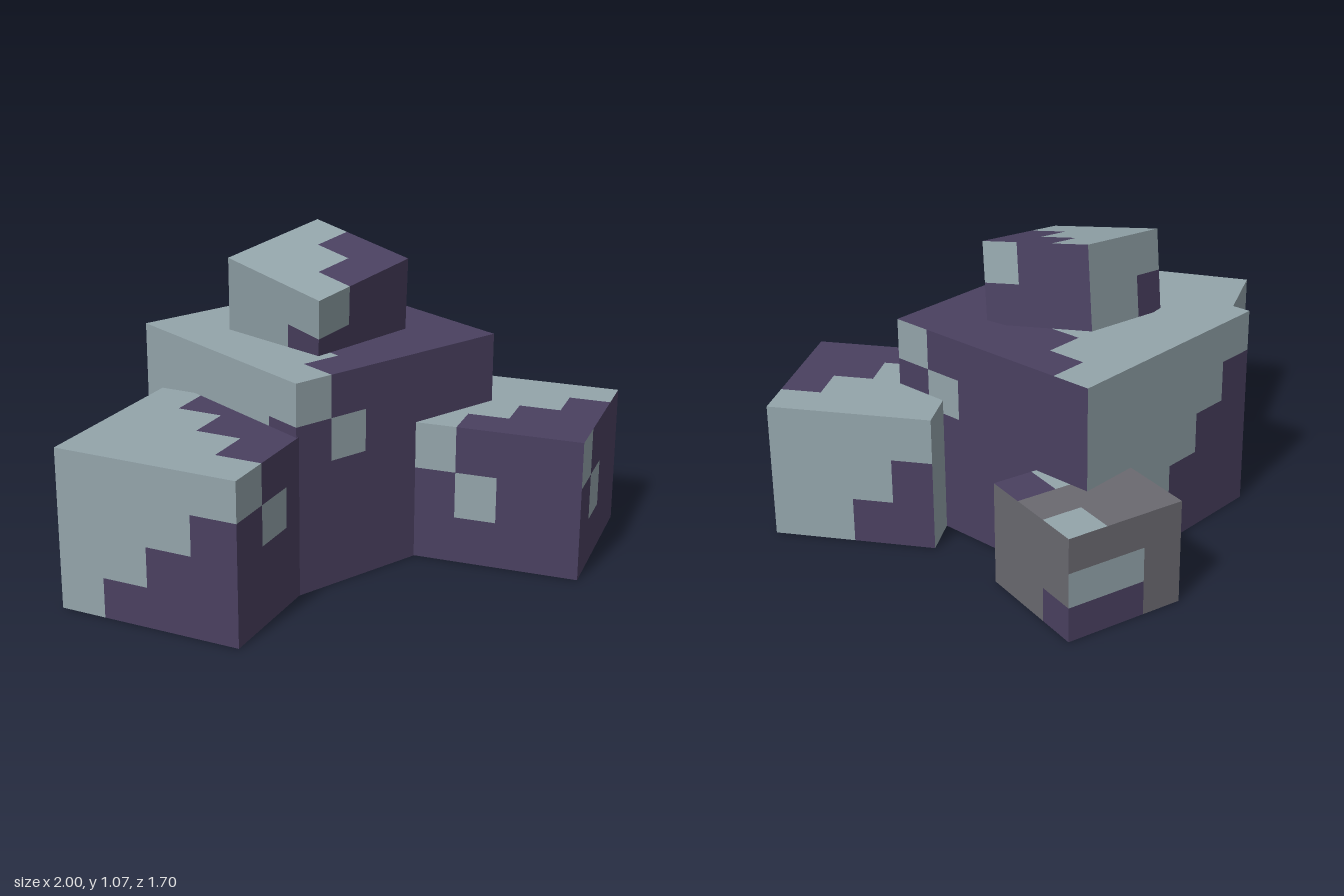
import * as THREE from 'three';

const mat = (name, color) => Object.assign(new THREE.MeshStandardMaterial({ color }), { name });

// Indices into the shared material list
const LIGHT = 0, PURPLE = 1, GREY = 2, BLACK = 3;
const RIGHT = 0, TOP = 2, BOTTOM = 3, FRONT = 4, BACK = 5;

// Block pattern: stairs from one corner, or a dark side with light diagonal patches
function blockPattern(face, i, j, cols, rows) {
  const stairs = i + j >= cols;
  const patch = i === j && i < Math.min(2, rows - 1);
  if (face === RIGHT || face === FRONT) return patch ? LIGHT : PURPLE;
  if (face === BOTTOM) return patch ? LIGHT : stairs ? BLACK : PURPLE;
  return stairs ? PURPLE : LIGHT;
}

// Grey pebble with a few coloured cells
function pebblePattern(face, i, j) {
  if (face === TOP) {
    if (i === 2 && j === 2) return PURPLE;
    return (i === 2 && j === 0) || (i === 1 && j === 2) ? LIGHT : GREY;
  }
  if (face === BACK && i < 2) return [GREY, LIGHT, PURPLE][j];
  if (face === RIGHT || face === FRONT) return i === 2 && j === 2 ? PURPLE : GREY;
  return GREY;
}

// Box divided into cells, each cell given one flat colour
function cellBox(name, materials, size, height, n, rows, pattern) {
  const geo = new THREE.BoxGeometry(size, height, size, n, rows, n);
  geo.clearGroups();
  let start = 0;
  for (let face = 0; face < 6; face++) {
    const faceRows = face === TOP || face === BOTTOM ? n : rows;
    for (let j = 0; j < faceRows; j++) {
      for (let i = 0; i < n; i++, start += 6) {
        geo.addGroup(start, 6, pattern(face, i, j, n, faceRows));
      }
    }
  }
  const mesh = new THREE.Mesh(geo, materials);
  mesh.name = name;
  return mesh;
}

export function createModel() {
  const group = new THREE.Group();
  group.name = 'rockPile';
  const materials = [
    mat('paleStone', 0x93a4aa),
    mat('purpleStone', 0x4a4060),
    mat('greyStone', 0x6a6970),
    mat('darkUnderside', 0x342c22),
  ];

  // Blocks standing on the ground: name, x, z, size, height, yaw, cells, rows, pattern
  const blocks = [
    ['centreBlock', -0.045, -0.032, 0.859, 0.73, 24.7, 6, 5, blockPattern],
    ['rightBlock', -0.55, 0.395, 0.643, 0.549, 50, 4, 4, blockPattern],
    ['leftBlock', 0.6, 0.253, 0.572, 0.487, -34.7, 4, 3, blockPattern],
    ['backPebble', 0.168, -0.605, 0.431, 0.368, 10, 3, 3, pebblePattern],
  ];
  blocks.forEach(([name, x, z, size, height, yaw, n, rows, pattern], k) => {
    const mesh = cellBox(name, materials, size, height, n, rows, pattern);
    mesh.position.set(x, height / 2 + (k ? 0.001 : 0), z);
    mesh.rotation.y = THREE.MathUtils.degToRad(yaw);
    group.add(mesh);
  });

  // Tilted block resting on the centre block
  const top = cellBox('topBlock', materials, 0.43, 0.285, 3, 2, blockPattern);
  const x = new THREE.Vector3(0.365, 0.065, -0.22).normalize();
  const y = new THREE.Vector3(0.225, -0.07, 0.355).cross(x).normalize();
  const z = new THREE.Vector3().crossVectors(x, y);
  top.quaternion.setFromRotationMatrix(new THREE.Matrix4().makeBasis(x, y, z));
  top.position.set(-0.054, 0.859, 0.004);
  group.add(top);

  return group;
}
